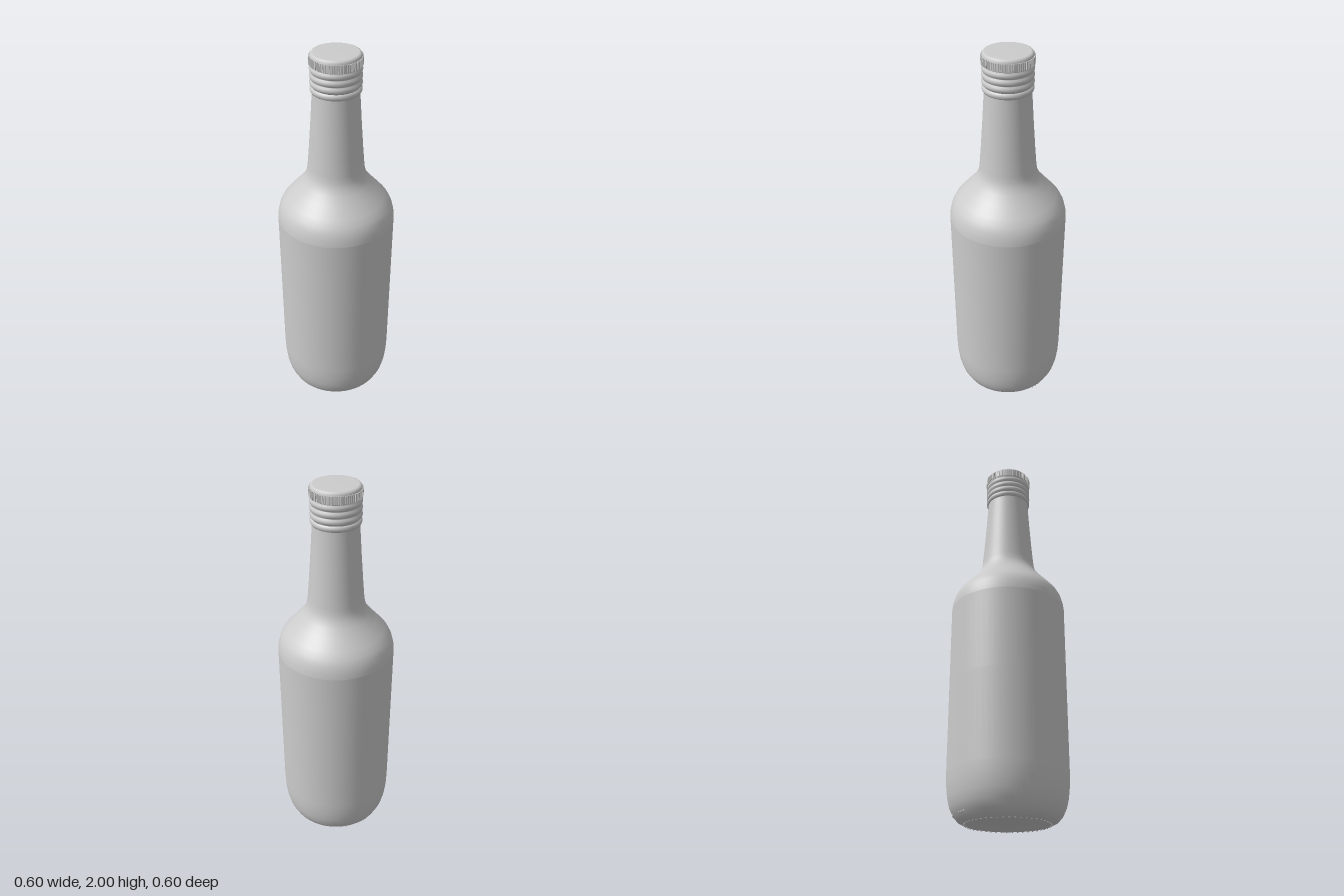
import * as THREE from 'three';
import { mergeGeometries } from 'three/addons/utils/BufferGeometryUtils.js';

const grey = new THREE.MeshStandardMaterial({ color: 0xcccccc });
grey.name = 'plain grey';

function addMesh(group, name, geometry) {
  const mesh = new THREE.Mesh(geometry, grey);
  mesh.name = name;
  group.add(mesh);
}

// Turned part from [radius, height] pairs, listed from the bottom up
const turned = (pairs, sides = 64) =>
  new THREE.LatheGeometry(pairs.map(([r, y]) => new THREE.Vector2(r, y)), sides);

// Copies of a small geometry around the axis at the given angles
const around = (angles, geometry, radius, y) => mergeGeometries(angles.map((a) =>
  geometry.clone().translate(0, y, radius).rotateY(a)));

const evenly = (n) => Array.from({ length: n }, (_, i) => (i / n) * Math.PI * 2);

export function createModel() {
  const group = new THREE.Group();
  group.name = 'bottle';

  // Base with a shallow hollow, rounded heel, straight wall
  addMesh(group, 'body', turned([
    [0, 0.035], [0.08, 0.033], [0.15, 0.024], [0.185, 0.009], [0.2, 0.004], [0.215, 0.006],
    [0.24, 0.018], [0.262, 0.042], [0.28, 0.08], [0.291, 0.125], [0.298, 0.185], [0.3, 0.25],
    [0.3, 0.7], [0.3, 1.12],
  ]));

  // Shoulder sweeping into the tapered neck
  addMesh(group, 'shoulderAndNeck', turned([
    [0.3, 1.12], [0.297, 1.15], [0.288, 1.185], [0.272, 1.217], [0.247, 1.247],
    [0.205, 1.294], [0.172, 1.333], [0.154, 1.363], [0.145, 1.39], [0.141, 1.42],
    [0.134, 1.5], [0.123, 1.65], [0.114, 1.79], [0.113, 1.83],
  ]));

  // Tamper band below the cap
  addMesh(group, 'capBand', turned([
    [0.111, 1.808], [0.117, 1.811], [0.122, 1.819], [0.123, 1.829], [0.119, 1.838], [0.113, 1.841],
  ]));

  // Cap skirt with rolled thread ridges
  const skirt = [[0.113, 1.838]];
  for (let i = 0; i < 3; i++) {
    const y = 1.843 + i * 0.033;
    skirt.push([0.117, y], [0.122, y + 0.006], [0.124, y + 0.015], [0.122, y + 0.024], [0.117, y + 0.03]);
  }
  skirt.push([0.118, 1.943]);
  addMesh(group, 'capSkirt', turned(skirt));

  // Cap crown with a softened top edge
  addMesh(group, 'capCrown', turned([
    [0.118, 1.94], [0.121, 1.945], [0.121, 1.98], [0.119, 1.99], [0.114, 1.997], [0.105, 2], [0, 2],
  ]));

  // Gripping knurls around the crown
  addMesh(group, 'capKnurls',
    around(evenly(72), new THREE.BoxGeometry(0.006, 0.038, 0.01), 0.1205, 1.964));

  // Small bearing dots under the base
  const dot = new THREE.SphereGeometry(0.005, 8, 6);
  addMesh(group, 'baseDots', around(evenly(48), dot, 0.207, 0.005));

  // Mould dots on the heel
  const heelAngles = [2.45, 2.53, 2.61, 3.88, 3.97, 4.3, 4.38, 4.46];
  addMesh(group, 'heelDots', around(heelAngles, dot, 0.26, 0.04));

  return group;
}
